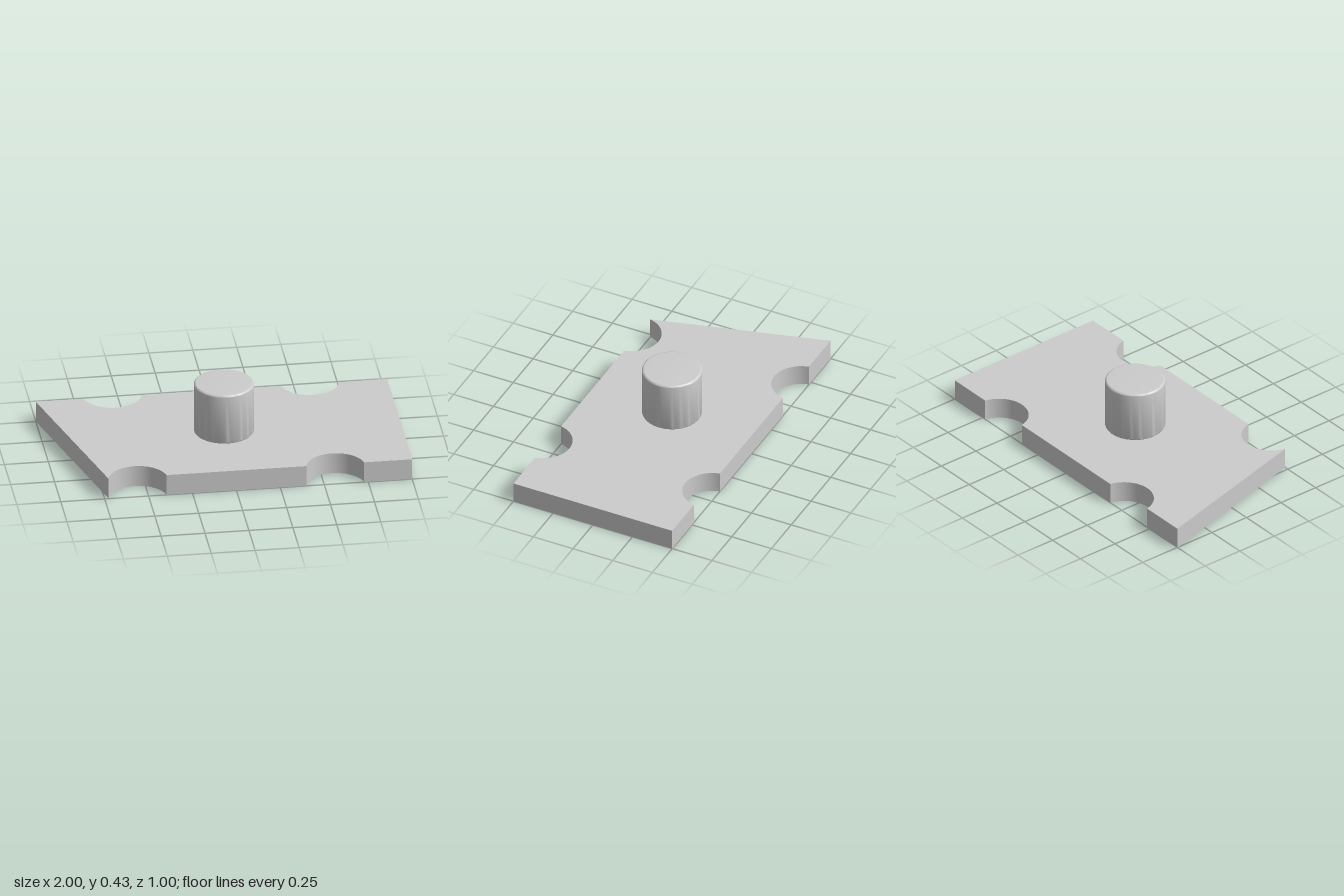
import * as THREE from 'three';
import { toCreasedNormals } from 'three/addons/utils/BufferGeometryUtils.js';

const PLATE = { halfX: 1, halfZ: 0.5, height: 0.125 };
const NOTCH = { x: 0.5625, z: 0.533, radius: 0.168 };
const PIN = { radius: 0.17, top: 0.43, fillet: 0.012 };

export function createModel() {
  const model = new THREE.Group();
  const material = new THREE.MeshStandardMaterial({ color: 0xcccccc });

  const add = (name, geometry) => {
    const mesh = new THREE.Mesh(toCreasedNormals(geometry, Math.PI / 5), material);
    mesh.name = name;
    model.add(mesh);
  };

  // Base plate: rectangle with two round notches in each long edge
  const { halfX, halfZ, height } = PLATE;
  const a = Math.asin((NOTCH.z - halfZ) / NOTCH.radius);
  const outline = new THREE.Shape();
  outline.moveTo(-halfX, -halfZ);
  for (const x of [-NOTCH.x, NOTCH.x]) {
    outline.absarc(x, -NOTCH.z, NOTCH.radius, Math.PI - a, a, true);
  }
  outline.lineTo(halfX, -halfZ);
  outline.lineTo(halfX, halfZ);
  for (const x of [NOTCH.x, -NOTCH.x]) {
    outline.absarc(x, NOTCH.z, NOTCH.radius, -a, a - Math.PI, true);
  }
  outline.lineTo(-halfX, halfZ);
  outline.closePath();
  const plate = new THREE.ExtrudeGeometry(outline, { depth: height, bevelEnabled: false, curveSegments: 24 });
  plate.rotateX(-Math.PI / 2);
  add('basePlate', plate);

  // Centre pin: cylinder with small rounded rims
  const { radius, top, fillet } = PIN;
  const profile = new THREE.Path();
  profile.moveTo(0, height);
  profile.lineTo(radius - fillet, height);
  profile.absarc(radius - fillet, height + fillet, fillet, -Math.PI / 2, 0, false);
  profile.lineTo(radius, top - fillet);
  profile.absarc(radius - fillet, top - fillet, fillet, 0, Math.PI / 2, false);
  profile.lineTo(0, top);
  add('centrePin', new THREE.LatheGeometry(profile.getPoints(6), 64));

  return model;
}
